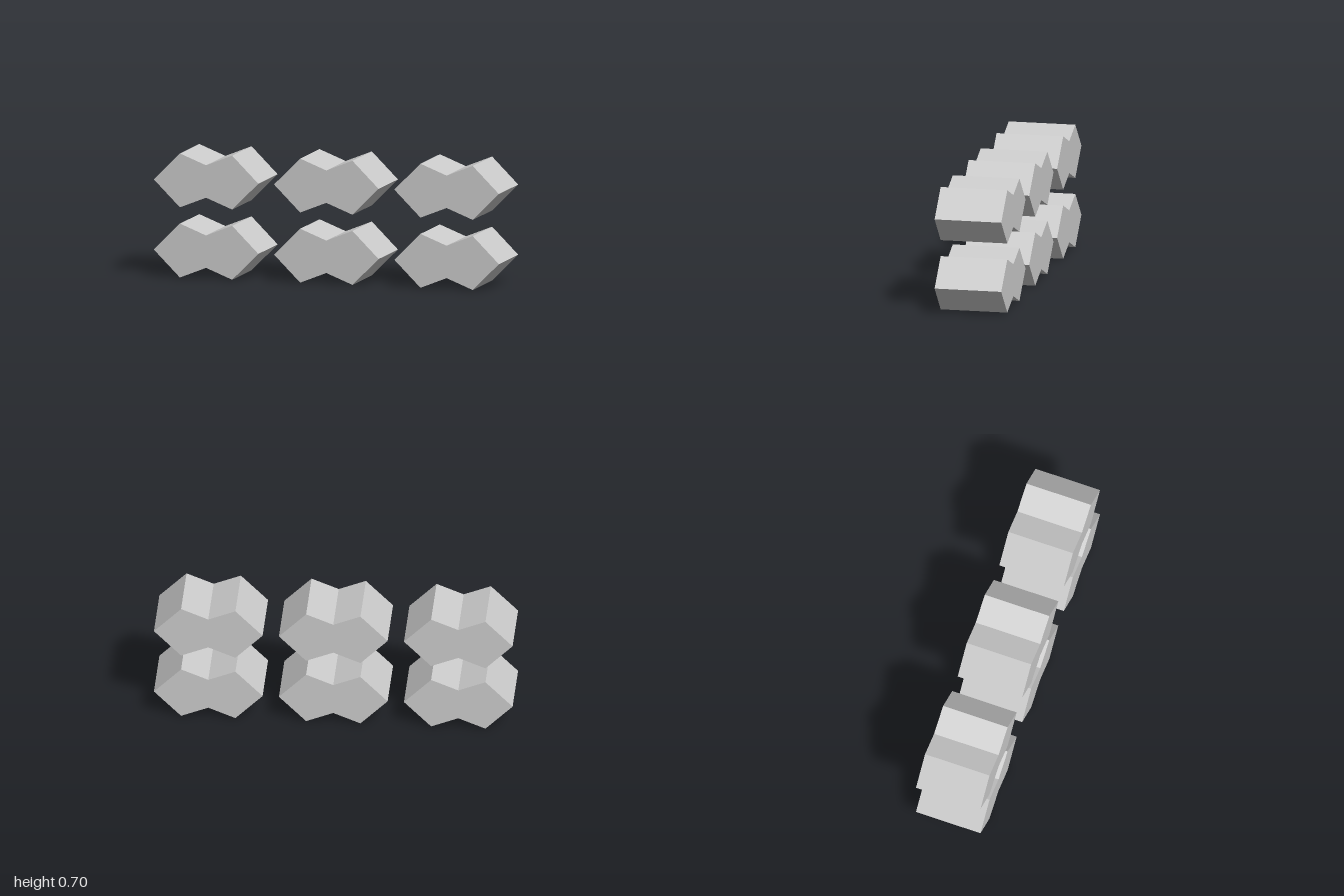
import * as THREE from 'three';

// Zigzag paving block: two diamonds merged into one notched outline
const HALF_W = 0.303, HALF_H = 0.1515, PEAK_X = 0.1515, NOTCH_Y = 0.091, DEPTH = 0.38;
const STEP_X = 0.697, STEP_Y = 0.394;

function blockGeometry() {
  const outline = new THREE.Shape([
    [HALF_W, 0], [PEAK_X, HALF_H], [0, NOTCH_Y], [-PEAK_X, HALF_H],
    [-HALF_W, 0], [-PEAK_X, -HALF_H], [0, -NOTCH_Y], [PEAK_X, -HALF_H],
  ].map(([x, y]) => new THREE.Vector2(x, y)));
  const geometry = new THREE.ExtrudeGeometry(outline, { depth: DEPTH, bevelEnabled: false });
  return geometry.translate(0, 0, -DEPTH / 2);
}

export function createModel() {
  const model = new THREE.Group();
  model.name = 'pavingBlocks';
  const material = new THREE.MeshStandardMaterial({ color: 0xcccccc, flatShading: true });
  const geometry = blockGeometry();

  // Two rows of three blocks
  for (let row = 0; row < 2; row++) {
    for (let col = 0; col < 3; col++) {
      const block = new THREE.Mesh(geometry, material);
      block.name = `pavingBlock${row * 3 + col + 1}`;
      block.position.set((col - 1) * STEP_X, HALF_H + row * STEP_Y, 0);
      model.add(block);
    }
  }
  return model;
}
